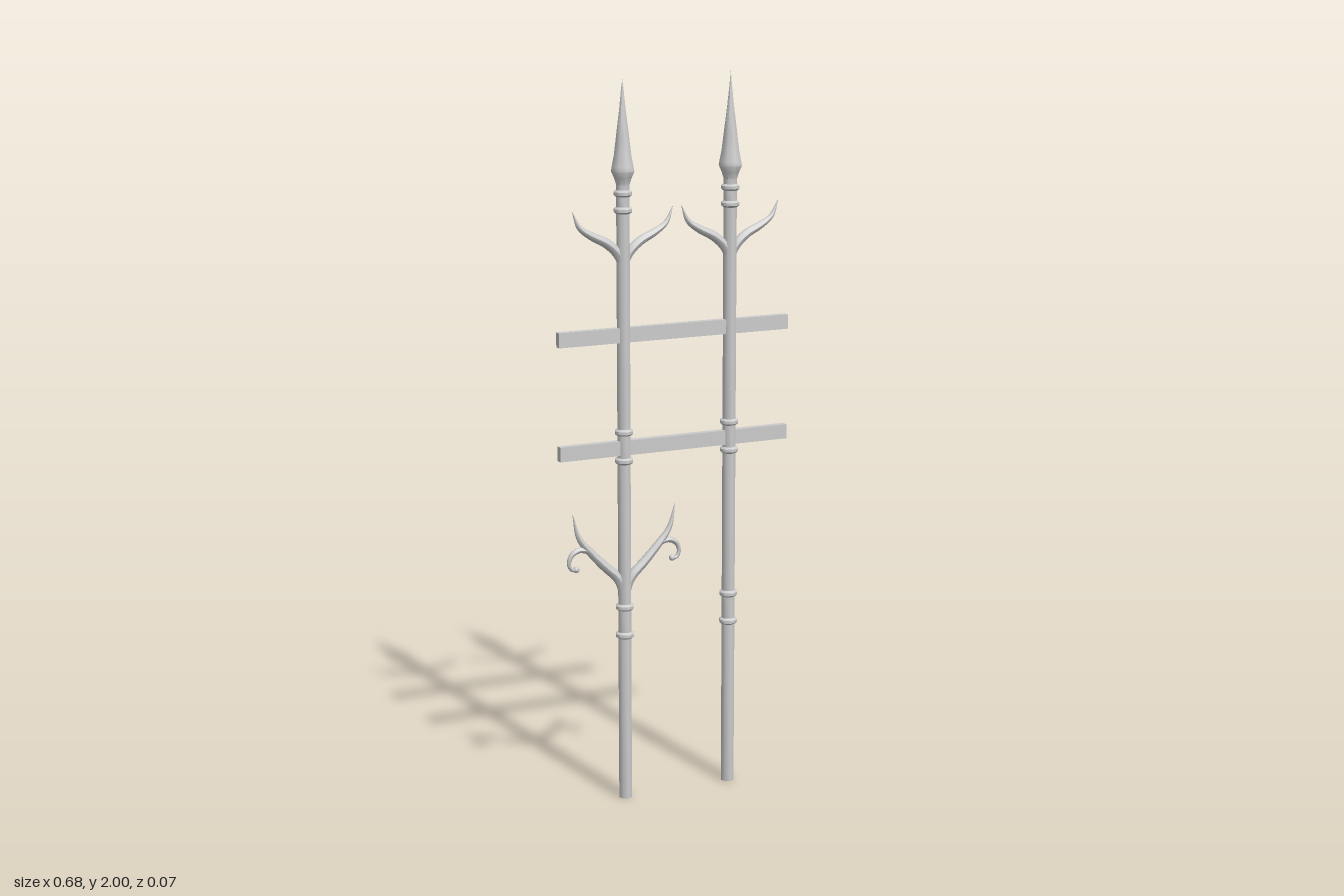
import * as THREE from 'three';
import { toCreasedNormals } from 'three/addons/utils/BufferGeometryUtils.js';

const material = new THREE.MeshStandardMaterial({ color: 0xcccccc });

function part(name, geometry, parent) {
  const mesh = new THREE.Mesh(geometry, material);
  mesh.name = name;
  parent.add(mesh);
  return mesh;
}

// Tube along xy points whose radius follows a list of values
function taperedTube(points, radii, mirror) {
  const curve = new THREE.CatmullRomCurve3(
    points.map(([x, y]) => new THREE.Vector3(x * mirror, y, 0)));
  const steps = 20, sides = 8;
  const geometry = new THREE.TubeGeometry(curve, steps, 1, sides, false);
  const pos = geometry.attributes.position;
  const v = new THREE.Vector3();
  for (let i = 0; i <= steps; i++) {
    const t = i / steps, f = t * (radii.length - 1);
    const k = Math.min(Math.floor(f), radii.length - 2);
    const r = THREE.MathUtils.lerp(radii[k], radii[k + 1], f - k);
    const centre = curve.getPointAt(t);
    for (let j = 0; j <= sides; j++) {
      const n = i * (sides + 1) + j;
      v.fromBufferAttribute(pos, n).sub(centre).multiplyScalar(r).add(centre);
      pos.setXYZ(n, v.x, v.y, v.z);
    }
  }
  geometry.computeVertexNormals();
  return geometry;
}

// Octagonal bar with collars and a spear point, turned as one profile
function postGeometry(height) {
  const r = 0.019;
  const profile = [[0, 0], [r, 0]];
  for (const y of [0.472, 0.552, 0.963, 1.042, 1.642, 1.687]) {
    profile.push([r, y - 0.009], [0.026, y - 0.004], [0.026, y + 0.004], [r, y + 0.009]);
  }
  profile.push([0.019, 1.71], [0.025, 1.728], [0.033, 1.745], [0.031, 1.757],
    [0.025, 1.785], [0.018, 1.84], [0.009, 1.91], [0.003, 1.965], [0, height]);
  const lathe = new THREE.LatheGeometry(profile.map(([x, y]) => new THREE.Vector2(x, y)), 8);
  return toCreasedNormals(lathe, 0.82);
}

export function createModel() {
  const model = new THREE.Group();
  model.name = 'fenceSection';

  // Two upright posts, each with a pair of upper prongs
  for (const [side, x, height] of [['right', -0.15, 1.985], ['left', 0.166, 2]]) {
    const post = new THREE.Group();
    post.name = side + 'Post';
    post.position.x = x;
    model.add(post);
    part('spearPost', postGeometry(height), post);
    for (const m of [-1, 1]) {
      part('upperProng', taperedTube(
        [[0, 1.495], [0.018, 1.53], [0.05, 1.558], [0.09, 1.578], [0.125, 1.602], [0.145, 1.645]],
        [0.013, 0.014, 0.013, 0.011, 0.007, 0.0008], m), post);
    }

    // Scrolled lower branches on the right post only
    if (side === 'right') {
      for (const m of [-1, 1]) {
        part('lowerProng', taperedTube(
          [[0, 0.58], [0.018, 0.632], [0.058, 0.672], [0.097, 0.713], [0.134, 0.76], [0.152, 0.828]],
          [0.013, 0.014, 0.013, 0.011, 0.007, 0.0008], m), post);
        part('scroll', taperedTube(
          [[0.085, 0.7], [0.108, 0.722], [0.135, 0.727], [0.157, 0.714], [0.164, 0.69],
            [0.155, 0.674], [0.143, 0.673]],
          [0.01, 0.009, 0.008, 0.006, 0.005], m), post);
        part('scrollEnd', new THREE.SphereGeometry(0.009, 10, 8), post)
          .position.set(0.143 * m, 0.674, 0);
      }
    }
  }

  // Flat rails passing through both posts
  for (const [name, y] of [['lowerRail', 0.999], ['upperRail', 1.308]]) {
    part(name, new THREE.BoxGeometry(0.68, 0.04, 0.02), model).position.y = y;
  }
  return model;
}
